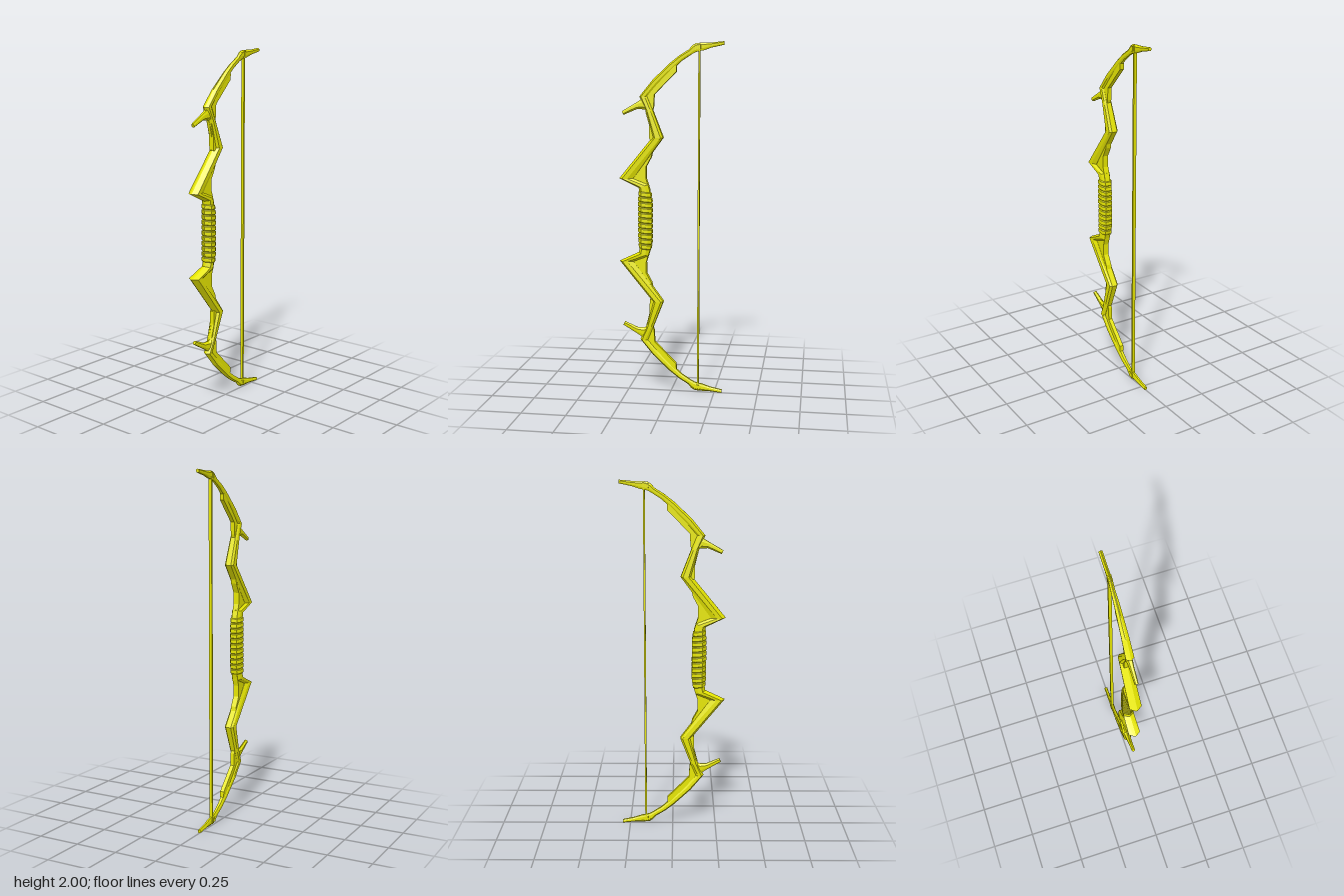
import * as THREE from 'three';

const material = new THREE.MeshStandardMaterial({ color: 0xe6e600, flatShading: true });

// Station: [outerX, outerY, innerX, innerY, halfDepth, ridge1, ridge2]
// Eight-sided section: sharp outer edge, two ridges, blunt inner edge.
function section([ox, oy, ix, iy, w, f1 = 0.28, f2 = 0.72]) {
  const at = (f, z) => [ox + (ix - ox) * f, oy + (iy - oy) * f, z];
  return [at(1, 0.55 * w), at(1, -0.55 * w), at(f2, -0.92 * w), at(f1, -w),
    at(0, -0.15 * w), at(0, 0.15 * w), at(f1, w), at(f2, 0.92 * w)];
}

// Skin a row of sections and close both ends.
function loft(name, stations) {
  const positions = stations.flatMap((s) => section(s).flat());
  const index = [];
  const n = 8, last = (stations.length - 1) * n;
  for (let i = 0; i < last; i += n) {
    for (let j = 0; j < n; j++) {
      const a = i + j, b = i + (j + 1) % n;
      index.push(a, b, a + n, b, b + n, a + n);
    }
  }
  for (let j = 1; j < n - 1; j++) {
    index.push(0, j + 1, j, last, last + j, last + j + 1);
  }
  const geometry = new THREE.BufferGeometry();
  geometry.setAttribute('position', new THREE.Float32BufferAttribute(positions, 3));
  geometry.setIndex(index);
  const flat = geometry.toNonIndexed();
  flat.computeVertexNormals();
  const mesh = new THREE.Mesh(flat, material);
  mesh.name = name;
  return mesh;
}

// Reflect stations about mid height, reversing them to keep faces outward.
const mirrored = (stations) =>
  stations.map(([ox, oy, ix, iy, ...rest]) => [ox, 2 - oy, ix, 2 - iy, ...rest]).reverse();

// Flat plate filling a bend of the limb.
function web(name, points, depth) {
  const shape = new THREE.Shape(points.map(([x, y]) => new THREE.Vector2(x, y)));
  const geometry = new THREE.ExtrudeGeometry(shape, { depth, bevelEnabled: false });
  geometry.translate(0, 0, -depth / 2);
  const mesh = new THREE.Mesh(geometry, material);
  mesh.name = name;
  return mesh;
}

// Zigzag band, then the curved tip
const LIMB = [
  [-0.18, 1.15, -0.118, 1.15, 0.03],
  [-0.186, 1.185, -0.13, 1.205, 0.031],
  [-0.297, 1.238, -0.215, 1.238, 0.034, 0.25, 0.6],
  [-0.108, 1.47, -0.044, 1.47, 0.03, 0.3, 0.8],
  [-0.148, 1.63, -0.102, 1.62, 0.025],
  [-0.18, 1.698, -0.135, 1.7, 0.022],
  [-0.105, 1.79, -0.075, 1.767, 0.02],
  [-0.01, 1.88, 0.014, 1.853, 0.016],
  [0.045, 1.923, 0.063, 1.897, 0.014],
  [0.1, 1.957, 0.116, 1.931, 0.011],
  [0.118, 1.979, 0.135, 1.941, 0.011],
  [0.138, 1.99, 0.15, 1.946, 0.011],
  [0.17, 1.993, 0.18, 1.951, 0.01],
  [0.222, 1.993, 0.225, 1.966, 0.01],
  [0.294, 2.0, 0.295, 1.981, 0.01],
];

const SPUR = [
  [-0.115, 1.6, -0.15, 1.7, 0.018],
  [-0.152, 1.627, -0.176, 1.678, 0.016],
  [-0.195, 1.628, -0.2, 1.663, 0.013],
  [-0.27, 1.596, -0.28, 1.616, 0.01],
];

// Plates: [name, depth, outline]
const WEBS = [
  ['SpikeWeb', 0.034, [[-0.235, 1.24], [-0.1, 1.42], [-0.112, 1.36], [-0.142, 1.305],
    [-0.142, 1.24], [-0.12, 1.17], [-0.16, 1.18]]],
  ['BendWeb', 0.03, [[-0.09, 1.44], [-0.122, 1.46], [-0.124, 1.545], [-0.143, 1.61],
    [-0.1, 1.58]]],
  ['ShoulderWeb', 0.024, [[-0.115, 1.59], [-0.098, 1.64], [-0.094, 1.71], [0.03, 1.835],
    [0.032, 1.868], [0.005, 1.87], [-0.15, 1.7]]],
];

export function createModel() {
  const group = new THREE.Group();
  group.name = 'bow';

  group.add(loft('upperLimb', LIMB), loft('lowerLimb', mirrored(LIMB)));
  group.add(loft('upperSpur', SPUR), loft('lowerSpur', mirrored(SPUR)));
  for (const [name, depth, points] of WEBS) {
    group.add(web('upper' + name, points, depth));
    group.add(web('lower' + name, points.map(([x, y]) => [x, 2 - y]), depth));
  }

  // Ribbed grip: shallow wraps, drawn in a little at both ends
  const grip = [];
  const wraps = 11, low = 0.835, pitch = 0.03;
  for (let i = 0; i < wraps; i++) {
    for (const [t, swell] of [[0, 0], [0.15, 0.005], [0.8, 0.005], [0.95, 0]]) {
      const y = low + (i + t) * pitch;
      const taper = 0.008 * Math.max(0, Math.abs(y - 1) - 0.11) / 0.055;
      grip.push([-0.185 - swell + taper * 0.5, y + 0.004, -0.113 + swell - taper, y - 0.004,
        0.031 + swell, 0.28, 0.72]);
    }
  }
  group.add(loft('grip', grip));

  // String: a flat cord, deeper than it is wide
  const string = new THREE.Mesh(new THREE.BoxGeometry(0.01, 1.91, 0.018), material);
  string.name = 'string';
  string.position.set(0.157, 1, 0);
  group.add(string);

  // String bindings around each limb tip
  for (const side of [1, -1]) {
    for (let i = 0; i < 3; i++) {
      const binding = new THREE.Mesh(new THREE.BoxGeometry(0.009, 0.028, 0.024), material);
      binding.name = side > 0 ? 'upperBinding' : 'lowerBinding';
      binding.position.set(0.137 + i * 0.012, 1 + side * (0.966 + i * 0.003), 0);
      group.add(binding);
    }
  }
  return group;
}
